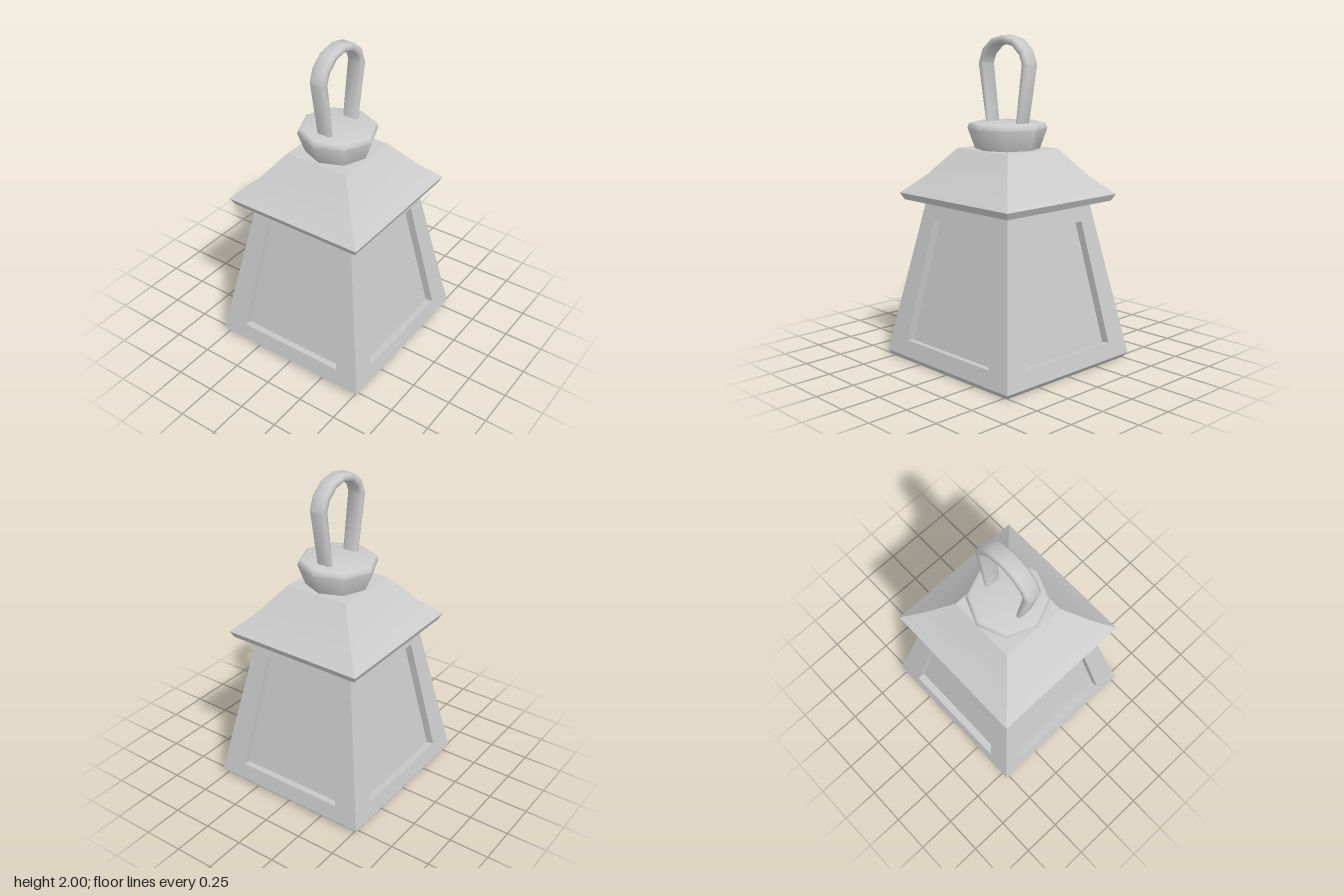
import * as THREE from 'three';
import { toCreasedNormals } from 'three/addons/utils/BufferGeometryUtils.js';

const material = new THREE.MeshStandardMaterial({ color: 0xcccccc });

function addMesh(parent, name, geometry, crease) {
  const mesh = new THREE.Mesh(toCreasedNormals(geometry, crease), material);
  mesh.name = name;
  parent.add(mesh);
  return mesh;
}

// Joins successive loops of points with quads; loops run counter-clockwise seen from the last one
function skin(loops, capStart, capEnd) {
  const pos = [];
  const tri = (a, b, c) => pos.push(...a, ...b, ...c);
  const n = loops[0].length;
  for (let k = 0; k < loops.length - 1; k++) {
    const a = loops[k], b = loops[k + 1];
    for (let i = 0; i < n; i++) {
      const j = (i + 1) % n;
      tri(a[i], a[j], b[j]);
      tri(a[i], b[j], b[i]);
    }
  }
  const first = loops[0], last = loops[loops.length - 1];
  for (let i = 1; i < n - 1; i++) {
    if (capStart) tri(first[0], first[i + 1], first[i]);
    if (capEnd) tri(last[0], last[i], last[i + 1]);
  }
  const geo = new THREE.BufferGeometry();
  geo.setAttribute('position', new THREE.Float32BufferAttribute(pos, 3));
  return geo;
}

// Horizontal rectangle with half sizes x and z at height y
const rect = ([x, y, z]) => [[-x, y, z], [x, y, z], [x, y, -z], [-x, y, -z]];

// Sloping wall facing +z with a recessed window pane
function wallGeometry(wBottom, wTop, dBottom, dTop, winBottom, winTop) {
  const y0 = 0.03, y1 = 1.0, recess = 0.05;
  const slope = (dBottom - dTop) / (y1 - y0);
  const len = Math.hypot(1, slope);
  const zAt = (y) => dBottom - (y - y0) * slope;
  const trapezoid = (ya, wa, yb, wb) => [
    [-wa, ya, zAt(ya)], [wa, ya, zAt(ya)], [wb, yb, zAt(yb)], [-wb, yb, zAt(yb)],
  ];
  const outer = trapezoid(y0, wBottom, y1, wTop);
  const opening = trapezoid(0.13, winBottom, 0.885, winTop);
  const pane = opening.map(([x, y, z]) => [x, y - (recess * slope) / len, z - recess / len]);
  return skin([outer, opening, pane], false, true);
}

// Flat ring band swept along an arch, thicker towards the top
function handleGeometry() {
  const half = [[0.127, 1.46, 0.016], [0.186, 1.83, 0.025], [0.158, 1.9, 0.025], [0.09, 1.957, 0.024]];
  const path = [...half, [0, 1.977, 0.023], ...half.map(([x, y, t]) => [-x, y, t]).reverse()];
  const w = 0.051, c = 0.012;
  const loops = path.map(([x, y, t], i) => {
    const p = path[Math.max(i - 1, 0)], q = path[Math.min(i + 1, path.length - 1)];
    const dx = q[0] - p[0], dy = q[1] - p[1], l = Math.hypot(dx, dy);
    const section = [
      [w - c, -t], [w, c - t], [w, t - c], [w - c, t],
      [c - w, t], [-w, t - c], [-w, c - t], [c - w, -t],
    ];
    return section.map(([a, b]) => [x + (b * dy) / l, y - (b * dx) / l, a]);
  });
  return skin(loops, true, true);
}

export function createModel() {
  const group = new THREE.Group();

  // Bevelled base
  addMesh(group, 'base', skin([[0.52, 0, 0.503], [0.545, 0.03, 0.525]].map(rect), true, false), 0.5);

  // Four walls: front and back, then the two sides
  const names = ['frontWall', 'leftWall', 'backWall', 'rightWall'];
  names.forEach((name, i) => {
    const geo = i % 2
      ? wallGeometry(0.525, 0.345, 0.545, 0.36, 0.358, 0.255)
      : wallGeometry(0.545, 0.36, 0.525, 0.345, 0.37, 0.265);
    addMesh(group, name, geo, 0.3).rotation.y = (i * Math.PI) / 2;
  });

  // Flared roof with an undercut eave
  const roof = [[0.456, 1.0, 0.44], [0.478, 1.042, 0.46], [0.36, 1.152, 0.345], [0.22, 1.32, 0.211]];
  addMesh(group, 'roof', skin(roof.map(rect), true, true), 0.4);

  // Eight-sided cap
  const profile = [[0.188, 1.3], [0.198, 1.322], [0.243, 1.447], [0.232, 1.474], [0.215, 1.48], [0, 1.48]];
  const cap = new THREE.LatheGeometry(profile.map(([r, y]) => new THREE.Vector2(r, y)), 8);
  addMesh(group, 'cap', cap, 0.9);

  // Carrying handle
  addMesh(group, 'handle', handleGeometry(), 0.9);

  return group;
}
